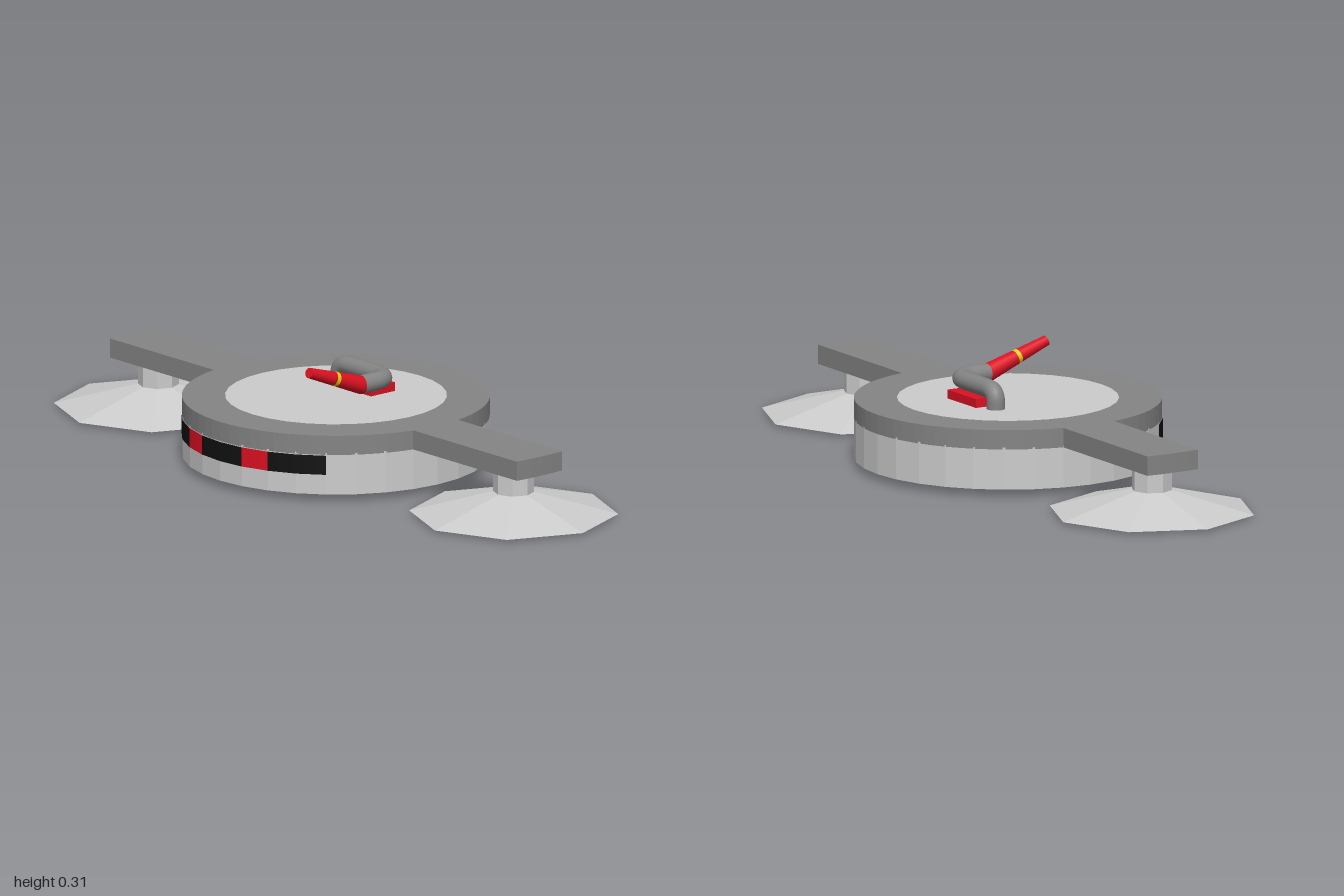
import * as THREE from 'three';

const mat = (color, extra = {}) => new THREE.MeshStandardMaterial({ color, ...extra });
const light = mat(0xcccccc, { flatShading: true });
const dark = mat(0x848484, { flatShading: true });
const pipeGrey = mat(0x848484);
const black = mat(0x111111);
const red = mat(0xdd1122);
const yellow = mat(0xe0d010);
const V = (x, y, z) => new THREE.Vector3(x, y, z);

export function createModel() {
  const group = new THREE.Group();
  const add = (name, geometry, material, x = 0, y = 0, z = 0) => {
    const mesh = new THREE.Mesh(geometry, material);
    mesh.name = name;
    mesh.position.set(x, y, z);
    group.add(mesh);
    return mesh;
  };
  const R = 0.412;
  const wheels = [[-0.2, -0.11], [0.24, -0.11], [0, 0.24]];

  // Hollow round body: wall, floor with wheel wells, lid
  add('bodyWall', new THREE.CylinderGeometry(R, R, 0.115, 32, 1, true), light, 0, 0.0775, 0);
  const floor = new THREE.Shape(
    Array.from({ length: 32 }, (_, i) => {
      const a = (i / 32) * Math.PI * 2;
      return new THREE.Vector2(R * Math.cos(a), R * Math.sin(a));
    }));
  const w = 0.035;
  for (const [x, z] of wheels) {
    floor.holes.push(new THREE.Path([[-w, -w], [-w, w], [w, w], [w, -w]]
      .map(([dx, dz]) => new THREE.Vector2(x + dx, z + dz))));
  }
  add('floor', new THREE.ShapeGeometry(floor).rotateX(Math.PI / 2), light, 0, 0.02, 0);
  add('lid', new THREE.CircleGeometry(0.297, 32).rotateX(-Math.PI / 2), light, 0, 0.183, 0);

  // Upper ring and both arms as one plate
  const half = 0.08, a = Math.asin(half / R), end = Math.asin(half / 0.828);
  const plate = new THREE.Shape();
  plate.absarc(0, 0, R, a, Math.PI - a, false);
  plate.absarc(0, 0, 0.828, Math.PI - end, Math.PI + end, false);
  plate.absarc(0, 0, R, Math.PI + a, 2 * Math.PI - a, false);
  plate.absarc(0, 0, 0.828, -end, end, false);
  plate.closePath();
  plate.holes.push(new THREE.Path().absarc(0, 0, 0.297, 0, Math.PI * 2, true));
  add('ringWithArms', new THREE.ExtrudeGeometry(plate, {
    depth: 0.053, bevelEnabled: false, curveSegments: 16,
  }).rotateX(-Math.PI / 2), dark, 0, 0.13, 0);

  // Side brushes hanging from the arm ends
  for (const s of [-1, 1]) {
    add('brush', new THREE.CylinderGeometry(0.055, 0.28, 0.058, 8), light, s * 0.72, 0.036, 0);
    add('brushHub', new THREE.CylinderGeometry(0.055, 0.055, 0.067, 8), light, s * 0.72, 0.0975, 0);
  }

  // Front sensor band with two red lights, in steps of 11.25 degrees
  const step = Math.PI / 16;
  for (const [from, to, m] of [[-4, -2, black], [-2, -1, red], [-1, 1, black], [1, 2, red], [2, 4, black]]) {
    add(m === red ? 'sensorLight' : 'sensorBand', new THREE.CylinderGeometry(
      R + 0.002, R + 0.002, 0.053, (to - from) * 1, 1, true, from * step, (to - from) * step),
    m, 0, 0.1015, 0);
  }

  // Twin-disc wheels
  for (const [x, z] of wheels) {
    for (const s of [-1, 1]) {
      add('wheel', new THREE.CylinderGeometry(0.03, 0.03, 0.008, 16).rotateZ(Math.PI / 2),
        black, x + s * 0.022, 0.03, z);
    }
    add('axle', new THREE.CylinderGeometry(0.006, 0.006, 0.044, 8).rotateZ(Math.PI / 2), black, x, 0.03, z);
  }

  // Bent grey pipe: up from the lid, across, then forward
  const y = 0.232, zb = -0.105;
  const path = new THREE.CurvePath();
  path.add(new THREE.LineCurve3(V(-0.105, 0.18, zb), V(-0.105, 0.2, zb)));
  path.add(new THREE.QuadraticBezierCurve3(V(-0.105, 0.2, zb), V(-0.105, y, zb), V(-0.07, y, zb)));
  path.add(new THREE.LineCurve3(V(-0.07, y, zb), V(0.045, y, zb)));
  path.add(new THREE.QuadraticBezierCurve3(V(0.045, y, zb), V(0.1, y, zb), V(0.1, y, -0.05)));
  path.add(new THREE.LineCurve3(V(0.1, y, -0.05), V(0.1, y, 0)));
  add('pipe', new THREE.TubeGeometry(path, 48, 0.025, 16), pipeGrey);
  add('pipeBase', new THREE.BoxGeometry(0.143, 0.025, 0.085), red, 0.002, 0.1945, -0.1025);

  // Tapered nozzle with a yellow band
  const start = V(0.1, y, 0), tip = V(0.1, 0.298, 0.184);
  const dir = tip.clone().sub(start), length = dir.length();
  const radius = (t) => THREE.MathUtils.lerp(0.025, 0.014, t);
  for (const [t0, t1, m] of [[0, 0.47, red], [0.47, 0.53, yellow], [0.53, 1, red]]) {
    const part = add(m === yellow ? 'nozzleBand' : 'nozzle',
      new THREE.CylinderGeometry(radius(t1), radius(t0), length * (t1 - t0), 16), m);
    part.position.copy(start).addScaledVector(dir, (t0 + t1) / 2);
    part.quaternion.setFromUnitVectors(V(0, 1, 0), dir.clone().normalize());
  }
  add('nozzleJoint', new THREE.SphereGeometry(0.025, 16, 12), red, 0.1, y, 0);

  return group;
}
